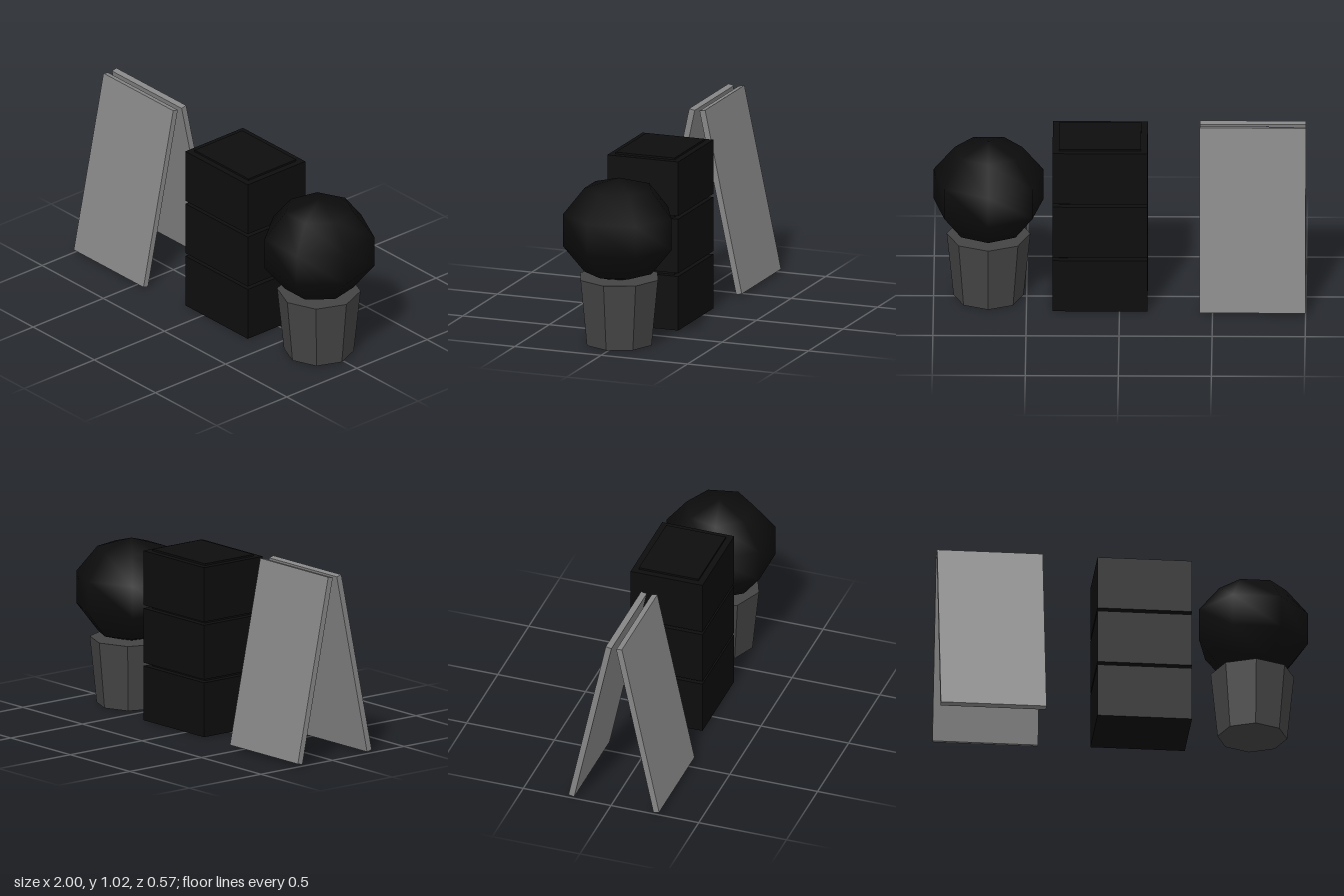
import * as THREE from 'three';

export function createModel() {
  const root = new THREE.Group();
  root.name = 'shopfrontSet';

  const mat = (name, color, flatShading = true) => {
    const m = new THREE.MeshStandardMaterial({ color, flatShading });
    m.name = name;
    return m;
  };
  const boardGrey = mat('boardGrey', 0x868686);
  const potGrey = mat('potGrey', 0x444444);
  const crateBlack = mat('crateBlack', 0x0d0d0d);
  const leafBlack = mat('leafBlack', 0x0c0c0c, false);

  const add = (parent, name, geometry, material, x, y, z) => {
    const mesh = new THREE.Mesh(geometry, material);
    mesh.name = name;
    mesh.position.set(x, y, z);
    parent.add(mesh);
    return mesh;
  };
  const group = (name, x, z) => {
    const g = new THREE.Group();
    g.name = name;
    g.position.set(x, 0, z);
    root.add(g);
    return g;
  };

  // A-frame sign: two boards leaning towards each other
  const sign = group('foldingSign', -0.715, 0.016);
  const board = new THREE.BoxGeometry(0.57, 1.022, 0.033);
  for (const side of [1, -1]) {
    const panel = add(sign, side > 0 ? 'frontBoard' : 'backBoard', board, boardGrey, 0, 0.513, side * 0.136);
    panel.rotation.x = -side * 0.209;
  }

  // Stack of three crates, each with a slightly inset lid
  const crates = group('crateStack', 0.105, 0.015);
  const body = new THREE.BoxGeometry(0.51, 0.3, 0.41);
  const lid = new THREE.BoxGeometry(0.44, 0.01, 0.34);
  [0, 0.318, 0.636].forEach((base, i) => {
    add(crates, `crate${i + 1}`, body, crateBlack, 0, base + 0.15, 0);
    add(crates, `crateLid${i + 1}`, lid, crateBlack, 0, base + 0.305, 0);
  });

  // Eight-sided tapered pot with a rounded shrub
  const plant = group('pottedShrub', 0.705, 0.014);
  add(plant, 'pot', new THREE.CylinderGeometry(0.225, 0.188, 0.365, 8), potGrey, 0, 0.1825, 0);
  const shrub = add(plant, 'shrub', new THREE.SphereGeometry(0.318, 7, 5), leafBlack, 0, 0.627, 0);
  shrub.scale.y = 0.9;
  shrub.rotation.y = -Math.PI / 2;

  return root;
}
